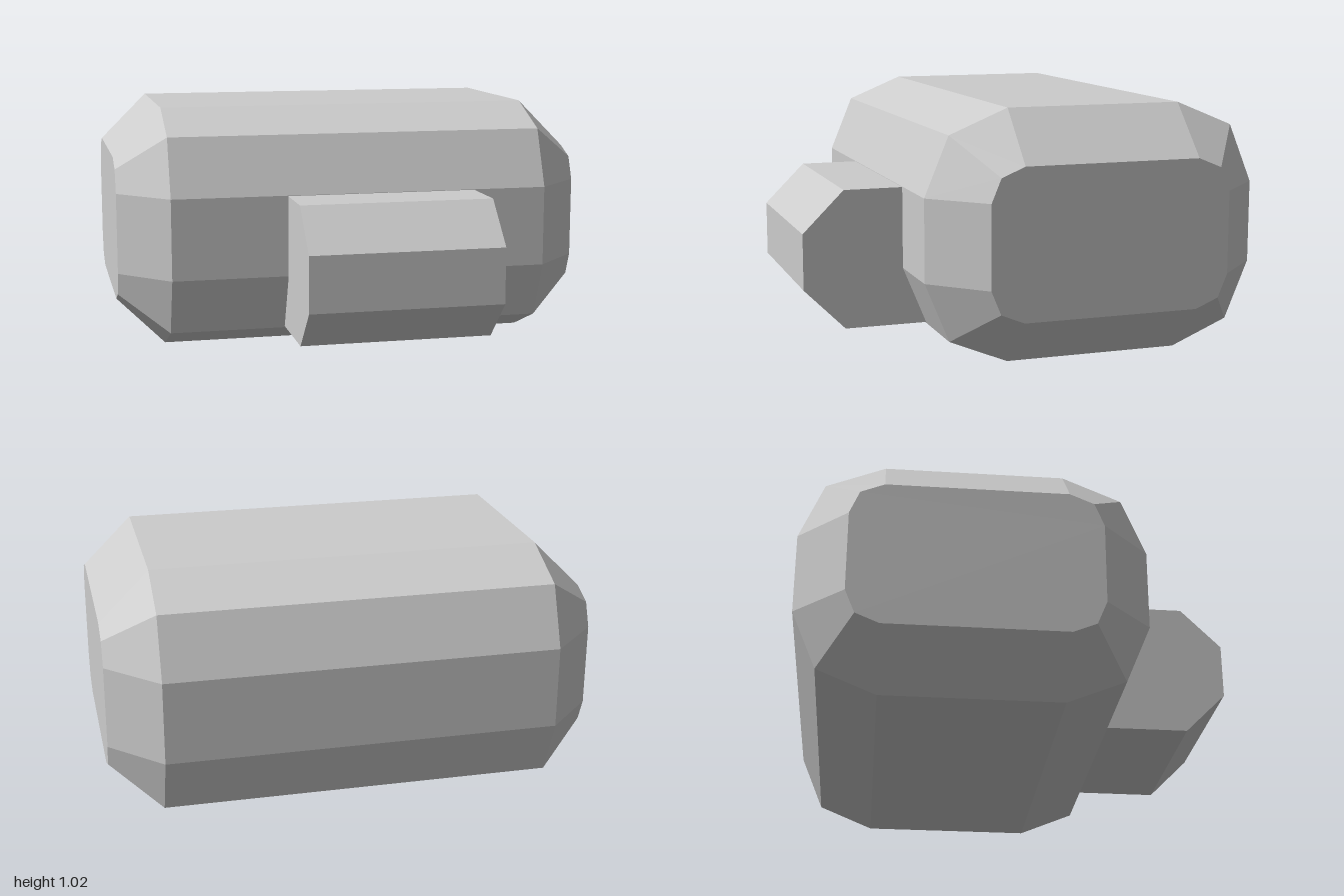
import * as THREE from 'three';

// Rounded-rectangle section in [z, y], each corner cut into two facets
function roundedSection(radius) {
  const corners = [[0.16, 0.677], [-0.57, 0.677], [-0.57, 0.34], [0.16, 0.34]];
  const points = [];
  corners.forEach(([z, y], c) => {
    for (let k = 0; k < 3; k++) {
      const a = (c * 2 + k) * Math.PI / 4;
      points.push([z + radius * Math.cos(a), y + radius * Math.sin(a)]);
    }
  });
  return points;
}

// Closed solid through convex sections stacked from -x to +x
function loft(sections) {
  const pos = [];
  const n = sections[0].points.length;
  const put = (s, i) => {
    const [z, y] = sections[s].points[i % n];
    pos.push(sections[s].x, y, z);
  };
  for (let s = 0; s < sections.length - 1; s++) {
    for (let i = 0; i < n; i++) {
      put(s, i); put(s + 1, i); put(s + 1, i + 1);
      put(s, i); put(s + 1, i + 1); put(s, i + 1);
    }
  }
  const last = sections.length - 1;
  for (let i = 1; i < n - 1; i++) {
    put(0, 0); put(0, i); put(0, i + 1);
    put(last, 0); put(last, i + 1); put(last, i);
  }
  const geometry = new THREE.BufferGeometry();
  geometry.setAttribute('position', new THREE.Float32BufferAttribute(pos, 3));
  geometry.computeVertexNormals();
  return geometry;
}

export function createModel() {
  const model = new THREE.Group();
  model.name = 'model';

  const grey = new THREE.MeshStandardMaterial({ color: 0xcccccc });
  grey.name = 'light grey';

  // Main body with bevelled ends
  const wide = roundedSection(0.34);
  const narrow = roundedSection(0.136);
  const body = new THREE.Mesh(loft([
    { x: -1, points: narrow },
    { x: -0.796, points: wide },
    { x: 0.796, points: wide },
    { x: 1, points: narrow },
  ]), grey);
  body.name = 'body';
  model.add(body);

  // Chamfered block on the front, sunk into the body
  const profile = [[0.913, 0.275], [0.913, 0.505], [0.743, 0.675],
    [0.35, 0.675], [0.35, 0.105], [0.743, 0.105]];
  const block = new THREE.Mesh(loft([
    { x: -0.315, points: profile },
    { x: 0.483, points: profile },
  ]), grey);
  block.name = 'frontBlock';
  model.add(block);

  return model;
}
